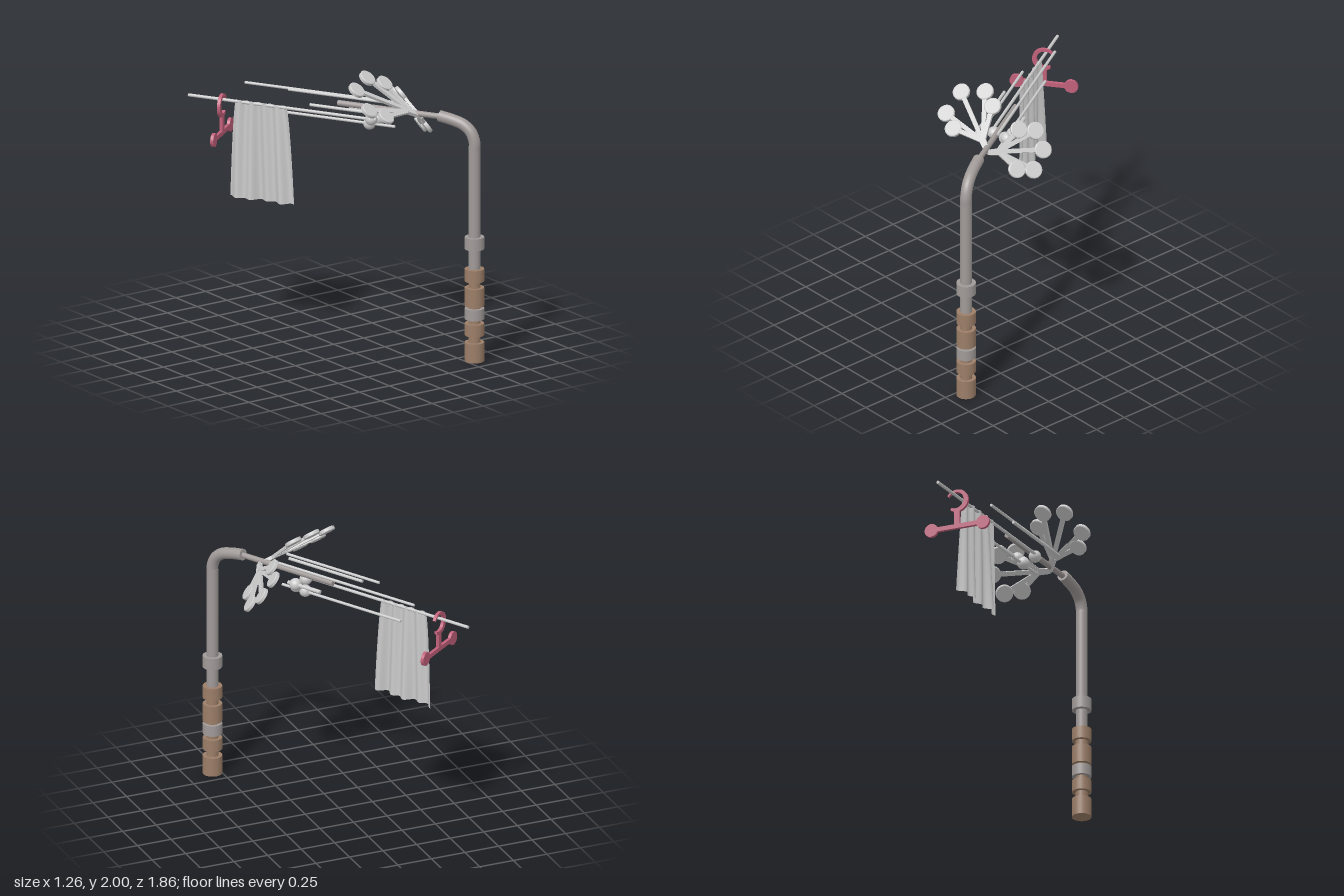
import * as THREE from 'three';

const V = (x, y, z) => new THREE.Vector3(x, y, z);
const mat = (color) => new THREE.MeshStandardMaterial({ color, side: THREE.DoubleSide });
const grey = mat(0xcccccc), steel = mat(0xa09a98), brown = mat(0x9b7e68), pink = mat(0xc0607a);

function add(parent, name, geometry, material) {
  const mesh = new THREE.Mesh(geometry, material);
  mesh.name = name;
  parent.add(mesh);
  return mesh;
}

function cylinder(parent, name, r, y0, y1, material) {
  const mesh = add(parent, name, new THREE.CylinderGeometry(r, r, y1 - y0, 32), material);
  mesh.position.y = (y0 + y1) / 2;
  return mesh;
}

// Rod running along the arm (local x)
function rod(parent, name, u0, u1, y, w, r, material = grey) {
  const geo = new THREE.CylinderGeometry(r, r, u1 - u0, 16).rotateZ(Math.PI / 2);
  add(parent, name, geo, material).position.set((u0 + u1) / 2, y, w);
}

// Flat bar from a to b, lying in the plane with the given normal
function flatBar(parent, name, a, b, normal, w0, w1, thick) {
  const dir = b.clone().sub(a), len = dir.length();
  dir.normalize();
  const s = new THREE.Shape([
    new THREE.Vector2(-w0 / 2, 0), new THREE.Vector2(w0 / 2, 0),
    new THREE.Vector2(w1 / 2, len), new THREE.Vector2(-w1 / 2, len)]);
  const geo = new THREE.ExtrudeGeometry(s, { depth: thick, bevelEnabled: false }).translate(0, 0, -thick / 2);
  const side = dir.clone().cross(normal).normalize();
  const n = side.clone().cross(dir);
  geo.applyMatrix4(new THREE.Matrix4().makeBasis(side, dir, n).setPosition(a));
  add(parent, name, geo, grey);
}

// Fan of stalks, each ending in a round disc
function discFan(parent, name, base, normal, centres) {
  const fan = new THREE.Group();
  fan.name = name;
  parent.add(fan);
  normal.normalize();
  const mid = V(0, 0, 0);
  centres.forEach((c) => mid.addScaledVector(c, 1 / centres.length));
  const hub = base.clone().lerp(mid, 0.3);
  flatBar(fan, 'fanStem', base, hub, normal, 0.035, 0.05, 0.025);
  const q = new THREE.Quaternion().setFromUnitVectors(V(0, 1, 0), normal);
  const profile = [[0, -0.014], [0.054, -0.014], [0.06, -0.01], [0.06, 0.01], [0.054, 0.014], [0, 0.014]];
  for (const c of centres) {
    flatBar(fan, 'fanStalk', hub.clone().lerp(base, 0.2), c, normal, 0.03, 0.032, 0.02);
    // profile points doubled as separate bands keep the rim crisp
    const disc = new THREE.Group();
    disc.name = 'fanDisc';
    for (let i = 0; i < profile.length - 1; i++) {
      const band = [profile[i], profile[i + 1]].map((p) => new THREE.Vector2(...p));
      add(disc, 'discBand', new THREE.LatheGeometry(band, 32), grey);
    }
    disc.position.copy(c);
    disc.quaternion.copy(q);
    fan.add(disc);
  }
}

export function createModel() {
  const root = new THREE.Group();
  root.name = 'hangingPole';

  // Local frame: x runs along the arm, z across it
  const pole = new THREE.Group();
  pole.name = 'pole';
  pole.position.set(0.56, 0, 0.865);
  pole.rotation.y = THREE.MathUtils.degToRad(120);
  root.add(pole);

  // Post with a bent top
  cylinder(pole, 'postFoot', 0.042, 0, 0.6, brown);
  cylinder(pole, 'post', 0.04, 0.6, 1.53, steel);
  const bend = new THREE.CatmullRomCurve3([
    V(0, 1.5, 0), V(0, 1.56, 0), V(0.025, 1.625, 0), V(0.08, 1.672, 0), V(0.16, 1.697, 0), V(0.26, 1.714, 0)]);
  add(pole, 'postBend', new THREE.TubeGeometry(bend, 40, 0.04, 24), steel);
  const cap = add(pole, 'bendCap', new THREE.CircleGeometry(0.04, 24), steel);
  cap.position.copy(bend.getPoint(1));
  cap.quaternion.setFromUnitVectors(V(0, 0, 1), bend.getTangent(1));

  // Grip collars
  [[0, 0.135, brown], [0.185, 0.27, brown], [0.3, 0.378, steel], [0.393, 0.525, brown],
    [0.57, 0.658, brown], [0.8, 0.885, steel]]
    .forEach(([y0, y1, m]) => cylinder(pole, 'collar', 0.067, y0, y1, m));

  // Arm and the bundle of rods: start, end, height, offset, radius
  rod(pole, 'arm', 0.24, 1.02, 1.71, 0, 0.02, steel);
  [[0.7, 2.106, 1.65, -0.078, 0.011], [0.557, 1.732, 1.755, 0.035, 0.01],
    [0.6, 1.6, 1.59, 0.011, 0.01], [0.58, 1.36, 1.782, -0.069, 0.01],
    [0.55, 1.17, 1.715, -0.134, 0.011], [0.7, 0.97, 1.66, 0.08, 0.014]]
    .forEach((r) => rod(pole, 'rod', ...r));

  // Cluster of balls under the arm
  [[0.245, 1.657, 0.175], [0.225, 1.625, 0.21], [0.17, 1.592, 0.18], [0.135, 1.645, 0.25]].forEach((p) => {
    add(root, 'ball', new THREE.SphereGeometry(0.043, 24, 16), grey).position.set(...p);
  });

  // Two disc fans on either side of the arm
  discFan(root, 'leftFan', V(0.37, 1.69, 0.505), V(0.77, 0.58, 0.26), [
    V(0.39, 1.78, 0.245), V(0.43, 1.745, 0.13), V(0.515, 1.635, 0.135), V(0.55, 1.535, 0.25), V(0.51, 1.565, 0.365)]);
  discFan(root, 'rightFan', V(0.37, 1.69, 0.505), V(0.23, 0.77, 0.6), [
    V(-0.07, 1.918, 0.365), V(0.08, 1.955, 0.28), V(0.2, 1.905, 0.315), V(-0.065, 1.805, 0.505), V(0.05, 1.75, 0.54)]);

  // Draped cloth: flares and folds more deeply towards the hem
  const cloth = new THREE.PlaneGeometry(1, 1, 72, 32);
  const pos = cloth.attributes.position;
  for (let i = 0; i < pos.count; i++) {
    const s = pos.getX(i), t = 0.5 - pos.getY(i);
    const half = 0.385 + 0.105 * Math.pow(t, 0.6);
    const fold = Math.sin(s * 27 + 0.8 * t) * (0.012 + 0.006 * t) + Math.sin(s * 11 + 1 + t) * 0.014 * t;
    pos.setXYZ(i, 1.56 + s * half, 1.662 - 0.695 * t, -0.08 + fold);
  }
  cloth.computeVertexNormals();
  add(pole, 'cloth', cloth, grey);

  // Flat hanger looped over the longest rod
  const hanger = new THREE.Group();
  hanger.name = 'hanger';
  hanger.position.set(-0.44, 0, -0.695);
  hanger.rotation.y = 0.65;
  root.add(hanger);
  const flat = { depth: 0.022, bevelEnabled: false, curveSegments: 32 };
  const slab = (name, shape) => add(hanger, name, new THREE.ExtrudeGeometry(shape, flat).translate(0, 0, -0.011), pink);
  const hook = new THREE.Shape();
  hook.absarc(0, 1.61, 0.082, 0.55, 5.3, false);
  hook.absarc(0.01, 1.613, 0.06, 5.3, 0.55, true);
  slab('hook', hook);
  const box = (x0, x1, y0, y1) => new THREE.Shape(
    [[x0, y0], [x1, y0], [x1, y1], [x0, y1]].map((p) => new THREE.Vector2(...p)));
  slab('hangerStem', box(-0.02, 0.02, 1.42, 1.545));
  slab('hangerBar', box(-0.18, 0.18, 1.402, 1.434));
  for (const side of [-1, 1]) {
    const knob = new THREE.Shape();
    knob.absarc(side * 0.19, 1.418, 0.048, 0, Math.PI * 2, false);
    slab('hangerKnob', knob);
  }
  return root;
}
